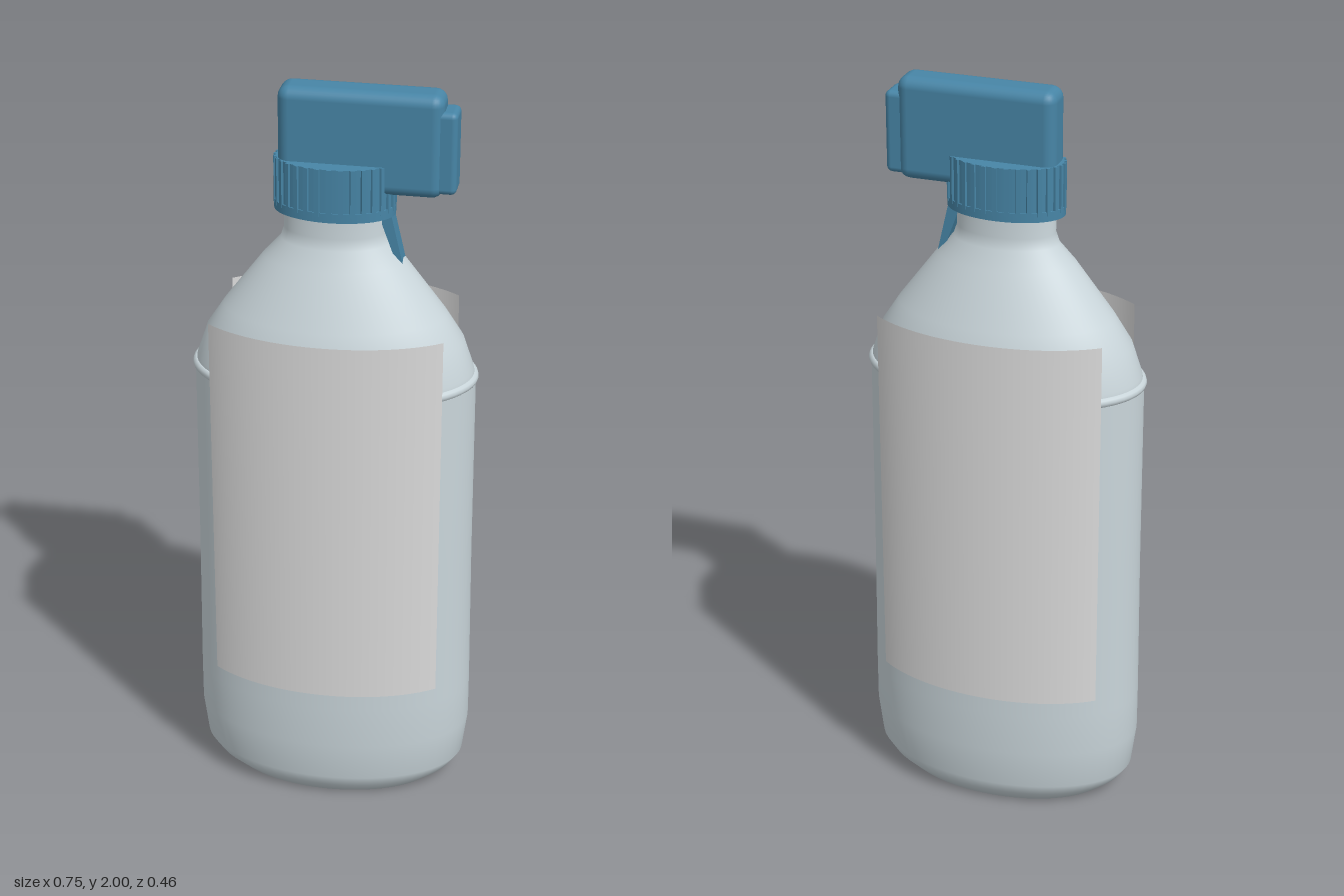
import * as THREE from 'three';
import { RoundedBoxGeometry } from 'three/addons/geometries/RoundedBoxGeometry.js';

export function createModel() {
  const model = new THREE.Group();
  model.name = 'sprayBottle';

  const mat = (name, color) => {
    const m = new THREE.MeshStandardMaterial({ color });
    m.name = name;
    return m;
  };
  const plastic = mat('palePlastic', 0xc9d5da);
  const paper = mat('labelGrey', 0xdadada);
  paper.side = THREE.DoubleSide;
  const blue = mat('bluePlastic', 0x4785a6);

  const add = (parent, name, geometry, material, x = 0, y = 0, z = 0) => {
    const mesh = new THREE.Mesh(geometry, material);
    mesh.name = name;
    mesh.position.set(x, y, z);
    parent.add(mesh);
    return mesh;
  };

  // Everything round shares the same flattened oval plan
  const FLAT = 0.592;
  const oval = new THREE.Group();
  oval.name = 'ovalParts';
  oval.scale.z = FLAT;
  model.add(oval);

  // Bottle body, shoulder and neck
  const profile = [
    [0, 0], [0.29, 0], [0.335, 0.035], [0.36, 0.07], [0.374, 0.18], [0.374, 0.3],
    [0.37, 0.7], [0.368, 1.215], [0.362, 1.25], [0.335, 1.33], [0.29, 1.4],
    [0.185, 1.54], [0.14, 1.59], [0.13, 1.62], [0.13, 1.7],
  ].map(([r, y]) => new THREE.Vector2(r, y));
  add(oval, 'bottle', new THREE.LatheGeometry(profile, 64), plastic);

  // Raised bead below the shoulder
  const bead = new THREE.TorusGeometry(0.362, 0.013, 10, 64).rotateX(Math.PI / 2);
  add(oval, 'shoulderBead', bead, plastic, 0, 1.228, 0);

  // Curved labels standing just off the front and back
  const ARC = 0.9;
  for (const [name, turn] of [['frontLabel', 0], ['backLabel', Math.PI]]) {
    const g = new THREE.CylinderGeometry(0.385, 0.385, 1.04, 24, 1, true, turn - ARC, ARC * 2);
    add(oval, name, g, paper, 0, 0.87, 0);
  }

  // Screw cap with grip ribs
  add(oval, 'cap', new THREE.CylinderGeometry(0.15, 0.15, 0.14, 48), blue, 0, 1.74, 0);
  add(oval, 'capRim', new THREE.CylinderGeometry(0.155, 0.155, 0.025, 48), blue, 0, 1.6825, 0);
  const RIBS = 32;
  for (let i = 0; i < RIBS; i++) {
    const a = (i / RIBS) * Math.PI * 2;
    const rib = add(oval, 'capRib', new THREE.BoxGeometry(0.012, 0.125, 0.012), blue,
      Math.cos(a) * 0.15, 1.7475, Math.sin(a) * 0.15);
    rib.rotation.y = -a;
  }

  // Spray head and nozzle
  add(model, 'sprayHead', new RoundedBoxGeometry(0.417, 0.27, 0.097, 3, 0.03), blue, 0.0685, 1.865, 0);
  add(model, 'nozzle', new RoundedBoxGeometry(0.1, 0.215, 0.08, 3, 0.015), blue, 0.26, 1.85, 0);

  // Trigger tapering downwards
  const trigger = new THREE.Shape([
    [0.09, 1.74], [0.163, 1.54], [0.178, 1.54], [0.148, 1.67], [0.14, 1.74],
  ].map(([x, y]) => new THREE.Vector2(x, y)));
  const triggerGeo = new THREE.ExtrudeGeometry(trigger, { depth: 0.048, bevelEnabled: false });
  add(model, 'trigger', triggerGeo, blue, 0, 0, -0.024);

  return model;
}
